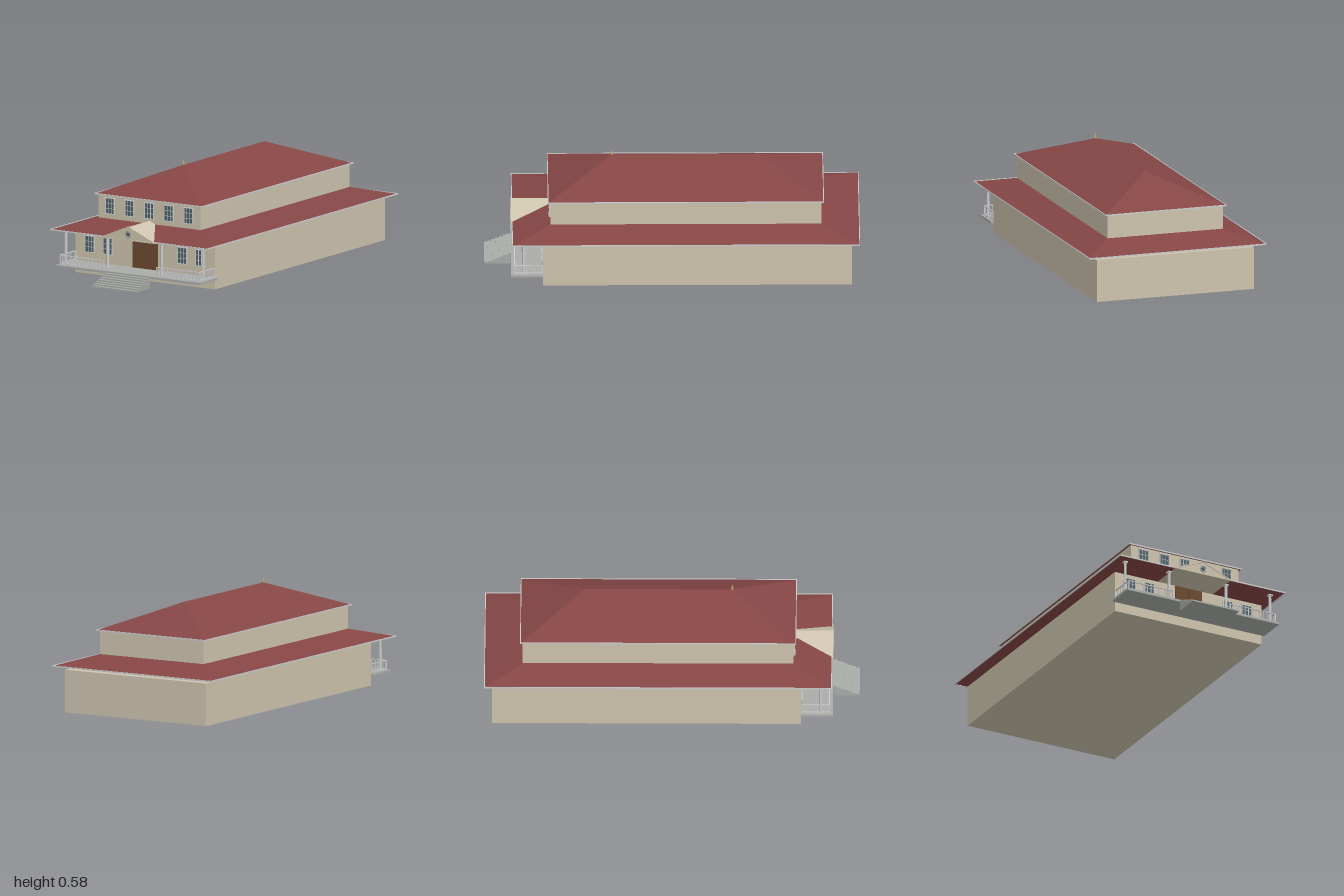
import * as THREE from 'three';

const mat = (color) => new THREE.MeshStandardMaterial({ color, flatShading: true });
const WALL = mat(0xcdc3ad), ROOF = mat(0x854645), GREY = mat(0xcccccc), STONE = mat(0xa9aca8);
const DOOR = mat(0x6b4a30), GLASS = mat(0x4f636b), GOLD = mat(0xb8a468);

export function createModel() {
  const model = new THREE.Group();
  const house = new THREE.Group();
  house.name = 'house';
  house.rotation.y = -0.646; // the building stands diagonally on its plot
  model.add(house);

  const add = (name, geo, material, x = 0, y = 0, z = 0, parent = house) => {
    const m = new THREE.Mesh(geo, material);
    m.name = name;
    m.position.set(x, y, z);
    parent.add(m);
    return m;
  };
  const group = (name, x = 0, y = 0, z = 0) => {
    const g = new THREE.Group();
    g.name = name;
    g.position.set(x, y, z);
    house.add(g);
    return g;
  };
  // box given by its lower and upper limits
  const block = (name, material, x0, x1, y0, y1, z0, z1, parent = house) =>
    add(name, new THREE.BoxGeometry(x1 - x0, y1 - y0, z1 - z0), material,
      (x0 + x1) / 2, (y0 + y1) / 2, (z0 + z1) / 2, parent);

  // hipped roof: a box whose top is drawn in, with a pale trim round the eaves
  const hipRoof = (name, w, d, topW, topD, y0, y1) => {
    const geo = new THREE.BoxGeometry(2 * w, y1 - y0, 2 * d);
    const p = geo.attributes.position;
    for (let i = 0; i < p.count; i++) {
      if (p.getY(i) > 0) {
        p.setX(i, Math.sign(p.getX(i)) * topW);
        p.setZ(i, Math.sign(p.getZ(i)) * topD);
      }
    }
    geo.computeVertexNormals();
    add(name, geo, ROOF, 0, (y0 + y1) / 2, 0);
    const t = 0.004, a = y0 - 0.003, b = y0 + 0.004;
    for (const s of [-1, 1]) {
      add(name + 'SideTrim', new THREE.BoxGeometry(t, b - a, 2 * d + t), GREY, s * w, (a + b) / 2, 0);
      add(name + 'EndTrim', new THREE.BoxGeometry(2 * w, b - a, t), GREY, 0, (a + b) / 2, s * d);
    }
  };

  // walls and roofs
  block('lowerWalls', WALL, -0.426, 0.426, 0, 0.22, -0.847, 0.731);
  block('upperWalls', WALL, -0.313, 0.313, 0.245, 0.412, -0.692, 0.692);
  hipRoof('lowerRoof', 0.478, 0.886, 0.313, 0.692, 0.239, 0.29);
  hipRoof('upperRoof', 0.326, 0.703, 0.0005, 0.377, 0.413, 0.545);
  add('finialBase', new THREE.SphereGeometry(0.007, 8, 6), GOLD, 0, 0.549, 0.377);
  add('finial', new THREE.ConeGeometry(0.007, 0.03, 8), GOLD, 0, 0.563, 0.377);

  // windows: frame, panes and glazing bars
  const makeWindow = (x, y, z, w, h) => {
    const g = group('window', x, y, z);
    add('windowGlass', new THREE.BoxGeometry(w, h, 0.004), GLASS, 0, 0, 0.001, g);
    for (const s of [-1, 1]) {
      add('windowJamb', new THREE.BoxGeometry(0.004, h, 0.01), GREY, s * w / 2, 0, 0.002, g);
      add('windowSill', new THREE.BoxGeometry(w + 0.006, 0.004, 0.012), GREY, 0, s * h / 2, 0.002, g);
      add('glazingBar', new THREE.BoxGeometry(0.002, h, 0.007), GREY, s * w / 6, 0, 0.002, g);
    }
    for (const k of [-0.17, 0.17])
      add('crossBar', new THREE.BoxGeometry(w, 0.002, 0.007), GREY, 0, k * h, 0.002, g);
  };
  for (let i = -2; i <= 2; i++) makeWindow(i * 0.12, 0.357, 0.692, 0.054, 0.082);
  for (const x of [-0.337, -0.228, 0.228, 0.337]) makeWindow(x, 0.155, 0.731, 0.054, 0.085);

  // double door
  for (const s of [-1, 1])
    add('doorLeaf', new THREE.BoxGeometry(0.076, 0.157, 0.006), DOOR, s * 0.0385, 0.14, 0.732);

  // porch floor and steps
  block('porchFloor', STONE, -0.44, 0.44, 0.05, 0.062, 0.731, 0.893);
  const steps = 7;
  for (let i = 0; i < steps; i++) {
    const z = 0.893 + (i * 0.135) / steps;
    block('step', STONE, -0.135, 0.135, 0, 0.054 * (1 - i / steps), z, z + 0.135 / steps);
  }

  // columns with base and capital
  for (const x of [-0.42, -0.165, 0.165, 0.42]) {
    const g = group('column', x, 0.062, 0.83);
    add('columnShaft', new THREE.CylinderGeometry(0.007, 0.008, 0.178, 12), GREY, 0, 0.089, 0, g);
    add('columnBase', new THREE.BoxGeometry(0.022, 0.008, 0.022), GREY, 0, 0.004, 0, g);
    add('columnCapital', new THREE.BoxGeometry(0.022, 0.008, 0.022), GREY, 0, 0.172, 0, g);
  }

  // railings
  const railing = (x0, z0, x1, z1) => {
    const len = Math.hypot(x1 - x0, z1 - z0);
    const g = group('railing', x0, 0.062, z0);
    g.rotation.y = -Math.atan2(z1 - z0, x1 - x0);
    for (const y of [0.007, 0.049])
      add('rail', new THREE.BoxGeometry(len, 0.004, 0.006), GREY, len / 2, y, 0, g);
    const n = Math.round(len / 0.021);
    for (let i = 0; i <= n; i++) {
      const post = i === 0 || i === n;
      const t = post ? 0.007 : 0.003;
      add(post ? 'railPost' : 'baluster', new THREE.BoxGeometry(t, 0.05, t), GREY, (i * len) / n, 0.025, 0, g);
    }
  };
  for (const s of [-1, 1]) {
    railing(s * 0.165, 0.875, s * 0.425, 0.875);
    railing(s * 0.425, 0.875, s * 0.425, 0.735);
  }

  // gable over the entrance, running back to the upper wall
  const half = 0.16, base = 0.237, peak = 0.305;
  const shape = new THREE.Shape();
  shape.moveTo(-half, base);
  shape.lineTo(half, base);
  shape.lineTo(0, peak);
  shape.closePath();
  add('entranceGable', new THREE.ExtrudeGeometry(shape, { depth: 0.199, bevelEnabled: false }), WALL, 0, 0, 0.69);
  const slope = Math.atan2(peak - base, half), rake = Math.hypot(half, peak - base);
  for (const s of [-1, 1]) {
    const m = add('gableMoulding', new THREE.BoxGeometry(rake, 0.006, 0.008), WALL,
      s * half / 2, (base + peak) / 2, 0.889);
    m.rotation.z = -s * slope;
  }
  add('gableCornice', new THREE.BoxGeometry(2 * half + 0.02, 0.006, 0.008), WALL, 0, base, 0.889);
  add('medallionRing', new THREE.TorusGeometry(0.017, 0.003, 6, 24), STONE, 0, 0.266, 0.89);
  const disc = add('medallionDisc', new THREE.CylinderGeometry(0.011, 0.011, 0.004, 20), GLASS, 0, 0.266, 0.89);
  disc.rotation.x = Math.PI / 2;

  return model;
}
